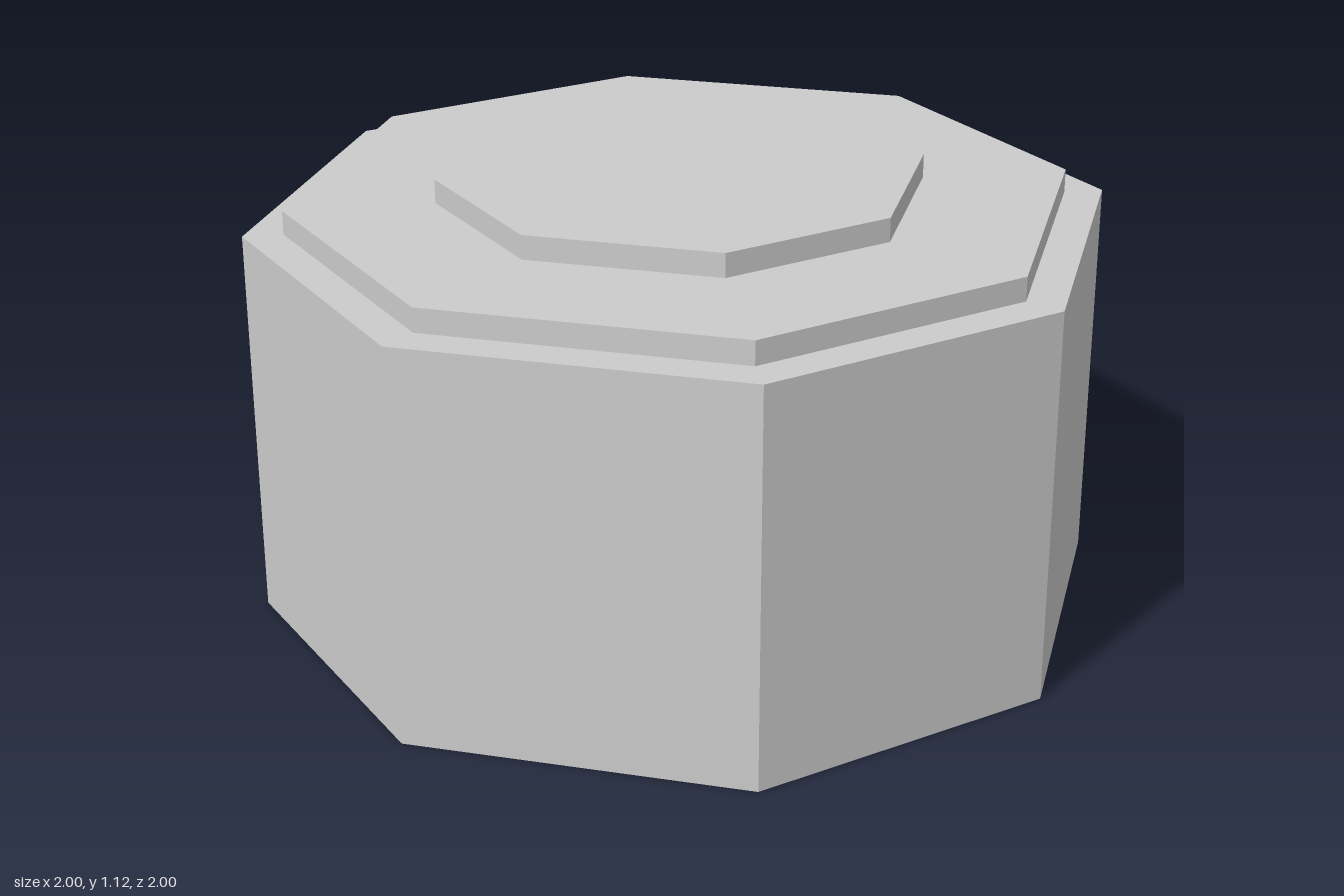
import * as THREE from 'three';

// Corners of the eight-sided outline for a half-width of 1, as [x, z]
const CORNERS = [[0.4, 1], [1, 0.4], [1, -0.4], [0.4, -1], [-0.4, -1], [-1, -0.4], [-1, 0.4], [-0.4, 1]];
const material = new THREE.MeshStandardMaterial({ color: 0xcccccc, flatShading: true });

// Sweep a [half-width, height] profile around the eight-sided outline
function octagonSweep(name, profile) {
  const lathe = new THREE.LatheGeometry(profile.map(([r, y]) => new THREE.Vector2(r, y)), 8);
  const pos = lathe.attributes.position;
  for (let i = 0; i < pos.count; i++) {
    const [r, y] = profile[i % profile.length];
    const [cx, cz] = CORNERS[Math.floor(i / profile.length) % 8];
    pos.setXYZ(i, r * cx, y, r * cz);
  }
  const geometry = lathe.toNonIndexed();
  geometry.computeVertexNormals();
  const mesh = new THREE.Mesh(geometry, material);
  mesh.name = name;
  return mesh;
}

function part(name, ...meshes) {
  const group = new THREE.Group();
  group.name = name;
  group.add(...meshes);
  return group;
}

export function createModel() {
  const t = 0.023; // shell thickness
  const plate = 0.908, cap = 0.565; // half-widths of the upper tiers
  const y1 = 1, y2 = 1.06, y3 = 1.12; // tier heights

  const model = new THREE.Group();
  model.name = 'steppedOctagonalCover';
  model.add(
    // Tall wall, open at the bottom, with inner and outer ledges
    octagonSweep('body', [
      [plate - t, y1 - t], [1 - t, y1 - t], [1 - t, 0], [1, 0], [1, y1], [plate, y1],
    ]),
    // Wide raised step, hollow underneath
    part('plate',
      octagonSweep('plateOutside', [[plate, y1], [plate, y2], [cap, y2]]),
      octagonSweep('plateInside', [[cap - t, y2 - t], [plate - t, y2 - t], [plate - t, y1 - t]])),
    // Small top step, hollow underneath
    part('cap',
      octagonSweep('capOutside', [[cap, y2], [cap, y3], [0, y3]]),
      octagonSweep('capInside', [[0, y3 - t], [cap - t, y3 - t], [cap - t, y2 - t]])),
  );
  return model;
}
